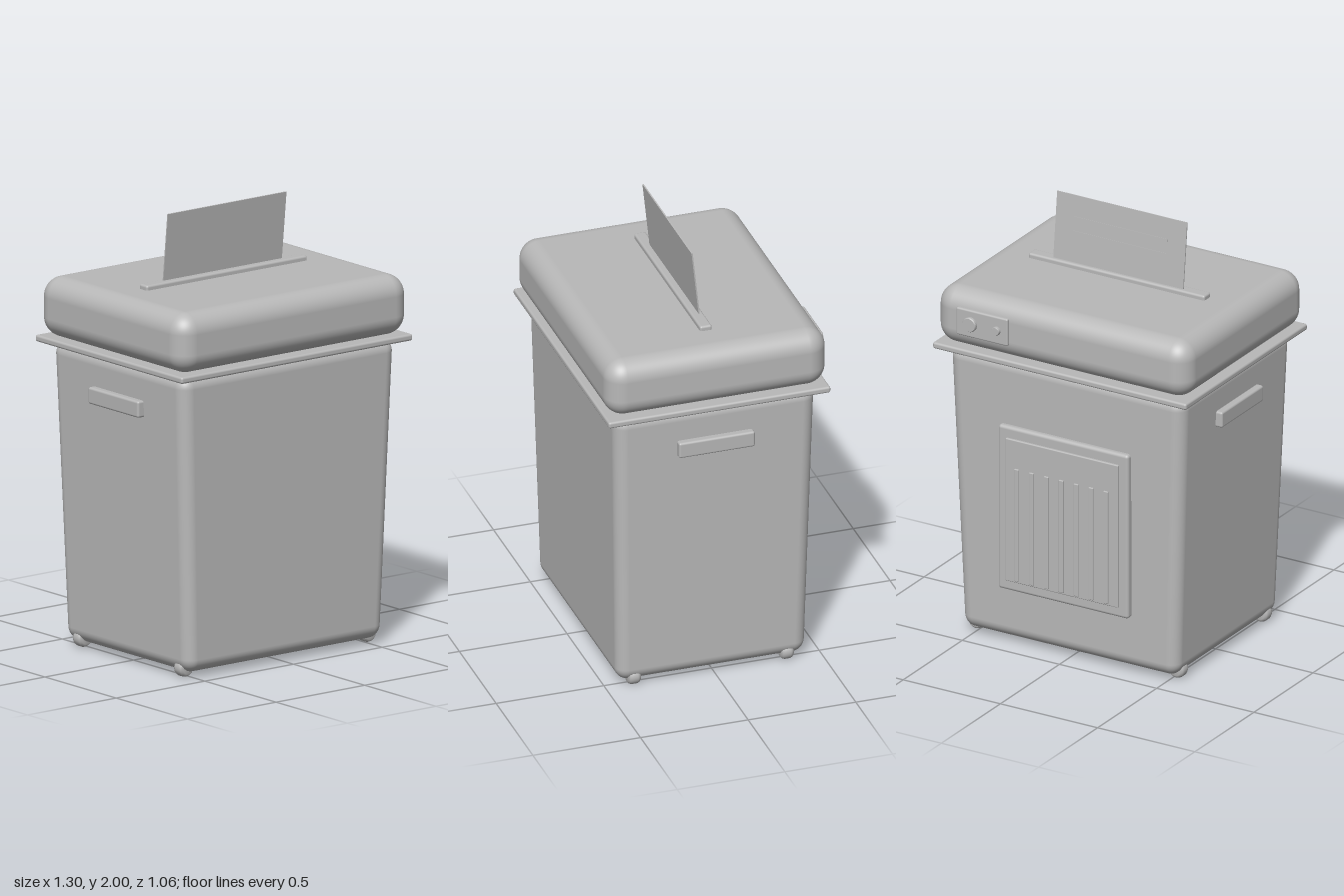
import * as THREE from 'three';
import { RoundedBoxGeometry } from 'three/addons/geometries/RoundedBoxGeometry.js';

const grey = new THREE.MeshStandardMaterial({ color: 0xb8b8b8 });
grey.name = 'grey plastic';

const CZ = 0.0125; // depth centre of the main housing

export function createModel() {
  const model = new THREE.Group();
  model.name = 'paperShredder';

  const add = (name, geometry, x, y, z, parent = model) => {
    const mesh = new THREE.Mesh(geometry, grey);
    mesh.name = name;
    mesh.position.set(x, y, z);
    parent.add(mesh);
    return mesh;
  };
  // rounded box given by its limits on each axis
  const block = (name, [x0, x1], [y0, y1], [z0, z1], radius, segments = 3, parent = model) =>
    add(name, new RoundedBoxGeometry(x1 - x0, y1 - y0, z1 - z0, segments, radius),
      (x0 + x1) / 2, (y0 + y1) / 2, (z0 + z1) / 2, parent);

  // bin: rounded box narrowing towards the floor
  const binHeight = 1.355;
  const binGeometry = new RoundedBoxGeometry(1.21, binHeight, 0.935, 6, 0.06);
  const p = binGeometry.attributes.position;
  for (let i = 0; i < p.count; i++) {
    const t = 0.5 - p.getY(i) / binHeight; // 0 at the top, 1 at the floor
    p.setX(i, p.getX(i) * (1 - 0.088 * t));
    p.setZ(i, p.getZ(i) * (1 - 0.064 * t));
  }
  add('bin', binGeometry, 0, 0.025 + binHeight / 2, CZ);

  // rim plate and cutter head
  block('rim', [-0.652, 0.652], [1.37, 1.4], [-0.503, 0.528], 0.01);
  block('head', [-0.65, 0.65], [1.398, 1.67], [-0.5, 0.525], 0.09, 8);

  // feed slot
  block('feedSlot', [-0.453, 0.453], [1.66, 1.692], [-0.02, 0.036], 0.01);

  // sheet leaning forward, with two printed lines on its back
  const sheet = new THREE.Group();
  sheet.name = 'sheet';
  sheet.position.set(0, 1.66, -0.003);
  sheet.rotation.x = 0.106;
  model.add(sheet);
  add('paper', new THREE.BoxGeometry(0.668, 0.341, 0.006), 0, 0.1705, 0, sheet);
  add('thickLine', new THREE.BoxGeometry(0.48, 0.014, 0.004), 0, 0.237, -0.004, sheet);
  add('thinLine', new THREE.BoxGeometry(0.48, 0.005, 0.004), 0, 0.175, -0.004, sheet);

  // side handles
  for (const s of [-1, 1]) {
    const handle = block('handle', [-0.025, 0.025], [1.15, 1.225], [-0.16, 0.193], 0.01);
    handle.position.x = s * 0.605;
  }

  // rear vent panel with upright ribs
  block('ventFrame', [-0.335, 0.335], [0.28, 1.067], [-0.472, -0.43], 0.015);
  block('ventPanel', [-0.29, 0.29], [0.33, 1.015], [-0.483, -0.46], 0.005);
  for (let i = -3; i <= 3; i++) {
    const x = i * 0.0765;
    block('ventRib', [x - 0.012, x + 0.012], [0.34, 0.88], [-0.49, -0.475], 0.004);
  }

  // rear control plate and its two buttons
  block('controlPlate', [0.26, 0.525], [1.472, 1.602], [-0.513, -0.49], 0.008);
  const button = (name, x, r) => {
    const profile = [[0, -0.01], [r, -0.01], [r, 0.012], [r * 0.9, 0.017], [0, 0.017]]
      .map(([a, b]) => new THREE.Vector2(a, b));
    const geometry = new THREE.LatheGeometry(profile, 28).toNonIndexed();
    geometry.computeVertexNormals();
    add(name, geometry, x, 1.537, -0.512).rotation.x = -Math.PI / 2;
  };
  button('largeButton', 0.45, 0.034);
  button('smallButton', 0.315, 0.02);

  // casters: bevelled wheels with their axle along the depth
  const wheel = [[0, -0.03], [0.026, -0.03], [0.036, -0.022], [0.04, -0.012],
    [0.04, 0.012], [0.036, 0.022], [0.026, 0.03], [0, 0.03]]
    .map(([a, b]) => new THREE.Vector2(a, b));
  const wheelGeometry = new THREE.LatheGeometry(wheel, 28);
  for (const x of [-0.515, 0.515]) {
    for (const z of [-0.34, 0.37]) {
      add('caster', wheelGeometry, x, 0.04, z).rotation.x = Math.PI / 2;
    }
  }

  return model;
}
